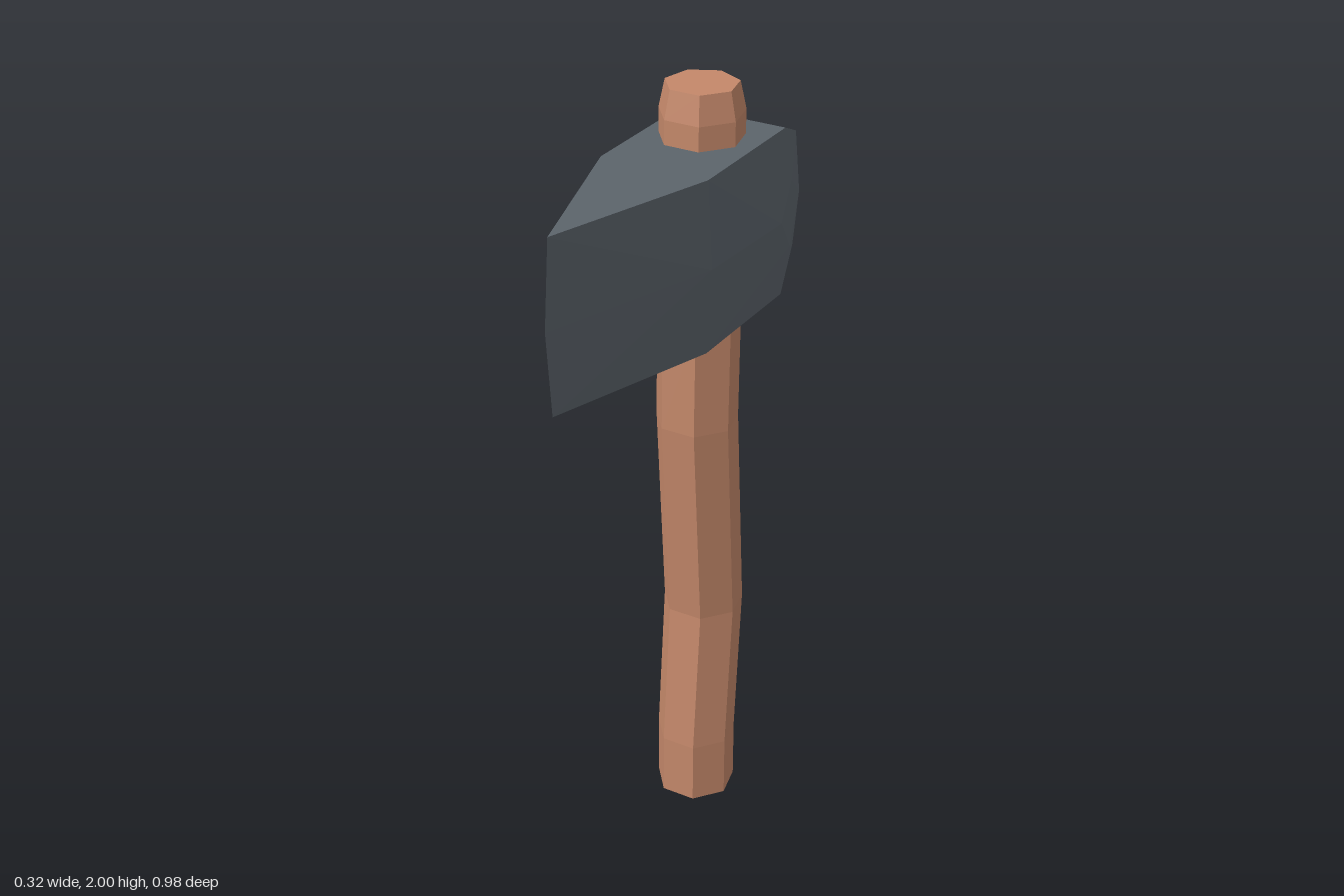
import * as THREE from 'three';
import { ConvexGeometry } from 'three/addons/geometries/ConvexGeometry.js';

const wood = new THREE.MeshStandardMaterial({ color: 0xc4886a, flatShading: true });
wood.name = 'brown wood';
const metal = new THREE.MeshStandardMaterial({ color: 0x5c646b, flatShading: true });
metal.name = 'slate metal';

// Seven-sided shaft, bent by moving each ring: [height, centre z, radius]
function handleGeometry() {
  const rings = [
    [0, -0.195, 0.105], [0.17, -0.195, 0.105], [0.57, -0.227, 0.105], [1.13, -0.185, 0.105],
    [1.42, -0.19, 0.105], [1.93, -0.197, 0.105], [2, -0.197, 0.09],
  ];
  const last = rings.length - 1;
  const geo = new THREE.CylinderGeometry(1, 1, last, 7, last, false, Math.PI).toNonIndexed();
  const pos = geo.attributes.position;
  for (let i = 0; i < pos.count; i++) {
    const [y, z, r] = rings[Math.round(pos.getY(i) + last / 2)];
    pos.setXYZ(i, -0.015 + pos.getX(i) * r, y, z + pos.getZ(i) * r);
  }
  geo.computeVertexNormals();
  return geo;
}

// Faceted wedge head, as the hull of its corner points
function headGeometry() {
  const points = [];
  const add = (x, y, z) => points.push(new THREE.Vector3(x, y, z));
  // corners shared by the upper and lower edges
  for (const y of [1.87, 1.44]) {
    add(-0.01, y, 0.47);
    for (const z of [0.03, -0.34]) {
      add(-0.15, y, z);
      add(0.13, y, z);
    }
  }
  // hammer face
  for (const y of [1.81, 1.51]) {
    add(-0.11, y, -0.475);
    add(0.09, y, -0.475);
  }
  add(-0.117, 1.65, -0.493);
  add(0.095, 1.65, -0.493);
  // widest line around the middle
  add(-0.01, 1.655, 0.49);
  add(-0.162, 1.655, 0.03);
  add(-0.162, 1.655, -0.35);
  add(0.142, 1.655, 0.03);
  add(0.158, 1.655, -0.28);
  for (const y of [1.74, 1.57]) add(0.148, y, -0.345);
  // shallow keel below
  add(-0.02, 1.4, 0);
  add(-0.015, 1.42, -0.25);
  return new ConvexGeometry(points);
}

export function createModel() {
  const group = new THREE.Group();
  group.name = 'hammer';
  const handle = new THREE.Mesh(handleGeometry(), wood);
  handle.name = 'handle';
  const head = new THREE.Mesh(headGeometry(), metal);
  head.name = 'head';
  group.add(handle, head);
  return group;
}
